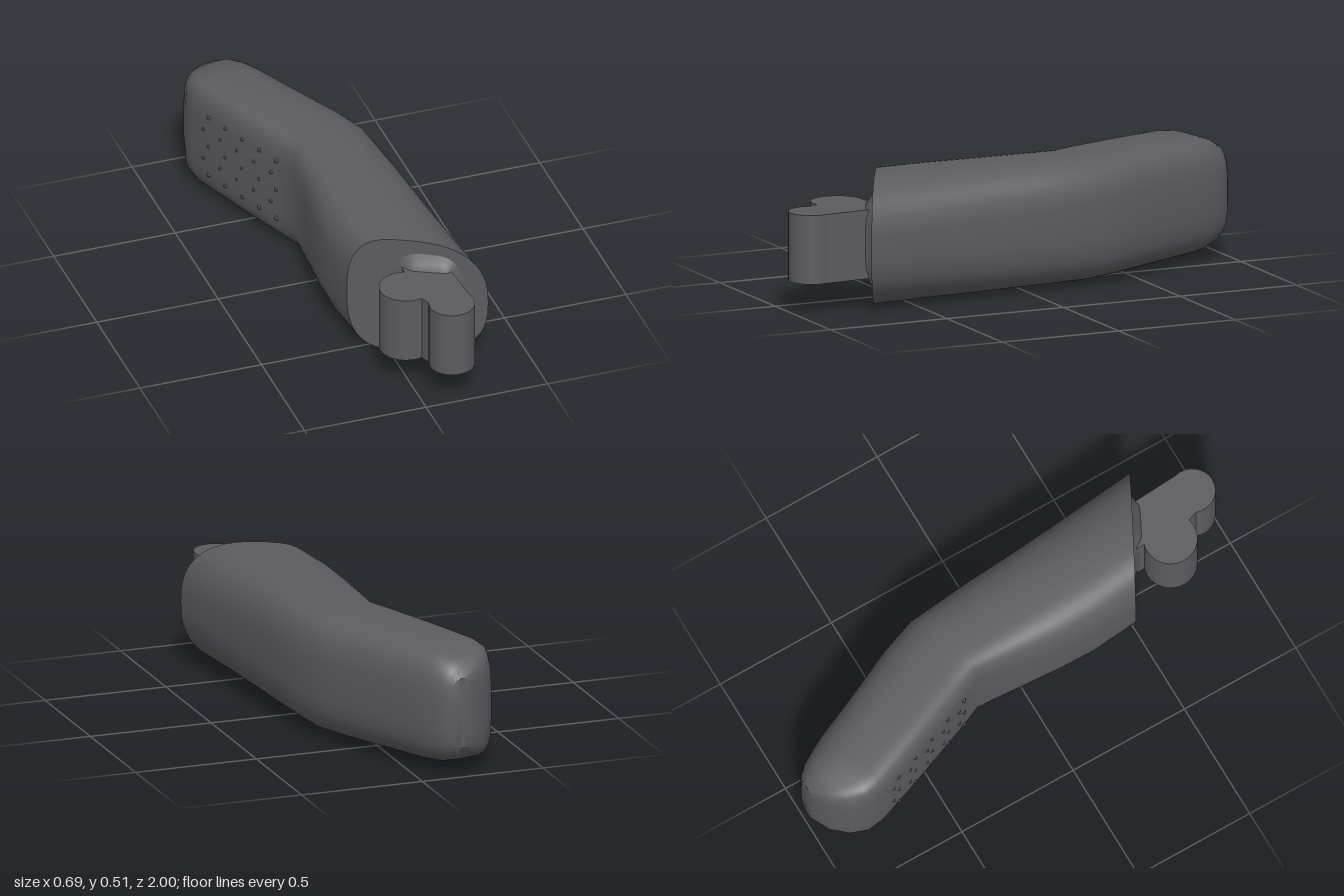
import * as THREE from 'three';
import { toCreasedNormals } from 'three/addons/utils/BufferGeometryUtils.js';

const SEG = 48;

// Ring between two side points (x, z), from y0 to y1, as a superellipse
// with its own roundness on the left and on the right of the crown.
function ring([lx, lz, rx, rz, y0, y1, nL, nR, crown]) {
  const mx = lx + (rx - lx) * crown, mz = lz + (rz - lz) * crown;
  const out = [];
  for (let j = 0; j < SEG; j++) {
    const t = (j / SEG) * Math.PI * 2, c = Math.cos(t), s = Math.sin(t);
    const n = c > 0 ? nR : nL;
    const u = Math.pow(Math.abs(c), 2 / n);
    const v = Math.sign(s) * Math.pow(Math.abs(s), 2 / n);
    const ex = c > 0 ? rx : lx, ez = c > 0 ? rz : lz;
    out.push(mx + (ex - mx) * u, (y0 + y1) / 2 + (v * (y1 - y0)) / 2, mz + (ez - mz) * u);
  }
  return out;
}

// Closed skin over rings ordered front to back
function loft(stations, crease) {
  const pos = stations.flatMap(ring), idx = [], last = stations.length - 1;
  for (let i = 0; i < last; i++) {
    for (let j = 0; j < SEG; j++) {
      const a = i * SEG + j, b = i * SEG + ((j + 1) % SEG);
      idx.push(a, a + SEG, b, b, a + SEG, b + SEG);
    }
  }
  for (const i of [0, last]) {
    const [lx, lz, rx, rz, y0, y1] = stations[i], c = pos.length / 3;
    pos.push((lx + rx) / 2, (y0 + y1) / 2, (lz + rz) / 2);
    for (let j = 0; j < SEG; j++) {
      const a = i * SEG + j, b = i * SEG + ((j + 1) % SEG);
      if (i === 0) idx.push(c, a, b);
      else idx.push(c, b, a);
    }
  }
  const g = new THREE.BufferGeometry();
  g.setAttribute('position', new THREE.Float32BufferAttribute(pos, 3));
  g.setIndex(idx);
  return toCreasedNormals(g, crease);
}

export function createModel() {
  const model = new THREE.Group();
  model.name = 'bentHandle';
  const grey = new THREE.MeshStandardMaterial({ color: 0x5c5b60 });
  grey.name = 'dark grey';

  const add = (name, geometry, parent = model) => {
    const m = new THREE.Mesh(geometry, grey);
    m.name = name;
    parent.add(m);
    return m;
  };

  // Body: slanted front face, bend in the middle, rounded rear end
  // left x, z, right x, z, bottom, top, left and right roundness, crown
  add('body', loft([
    [-0.145, 0.49, 0.345, 0.75, 0.0, 0.513, 2.9, 2.6, 0.4],
    [-0.16, 0.30, 0.315, 0.47, 0.003, 0.51, 3.2, 2.7, 0.42],
    [-0.155, 0.15, 0.288, 0.22, 0.006, 0.508, 3.5, 2.9, 0.45],
    [-0.14, 0.0, 0.268, -0.03, 0.009, 0.506, 4, 3, 0.45],
    [-0.12, -0.2, 0.235, -0.31, 0.012, 0.503, 5, 3.2, 0.45],
    [-0.16, -0.29, 0.18, -0.46, 0.014, 0.502, 5, 3.2, 0.45],
    [-0.25, -0.52, 0.09, -0.65, 0.018, 0.498, 5, 3.2, 0.45],
    [-0.335, -0.75, 0.005, -0.84, 0.023, 0.492, 5, 3.2, 0.45],
    [-0.345, -0.82, -0.03, -0.905, 0.03, 0.485, 5, 3.2, 0.45],
    [-0.327, -0.89, -0.06, -0.955, 0.05, 0.465, 4.5, 3.2, 0.45],
    [-0.28, -0.955, -0.09, -0.985, 0.08, 0.437, 4, 3.2, 0.45],
    [-0.21, -1.0, -0.12, -1.0, 0.12, 0.4, 3.5, 3, 0.45],
  ], 0.6));

  // Collar flaring from the front face into the neck
  add('collar', loft([
    [0.045, 0.63, 0.21, 0.715, 0.122, 0.395, 6, 6, 0.5],
    [0.035, 0.605, 0.225, 0.705, 0.1, 0.42, 4, 4, 0.5],
    [0.0, 0.562, 0.27, 0.705, 0.05, 0.465, 3, 3, 0.5],
  ], 0.9));

  // Hinge: a neck plate with two upright knuckles
  const hinge = new THREE.Group();
  hinge.name = 'hinge';
  model.add(hinge);
  const bottom = 0.122, height = 0.273;
  const outline = [[0.04, 0.56], [0.04, 0.84], [0.055, 0.88], [0.14, 0.91],
    [0.225, 0.9], [0.21, 0.66]];
  const neck = new THREE.ExtrudeGeometry(
    new THREE.Shape(outline.map(([x, z]) => new THREE.Vector2(x, -z))),
    { depth: height, bevelEnabled: false });
  neck.rotateX(-Math.PI / 2).translate(0, bottom, 0);
  add('neck', neck, hinge);
  for (const [name, x, z, r] of [['sideKnuckle', 0.01, 0.737, 0.105], ['frontKnuckle', 0.138, 0.91, 0.09]]) {
    add(name, new THREE.CylinderGeometry(r, r, height, 40), hinge)
      .position.set(x, bottom + height / 2, z);
  }

  // Grip studs in staggered rows on the inner side of the rear half
  const studs = new THREE.Group();
  studs.name = 'gripStuds';
  model.add(studs);
  const studShape = toCreasedNormals(new THREE.ConeGeometry(0.02, 0.018, 5), 0.2);
  const outward = new THREE.Vector3(-0.936, 0, 0.35).normalize();
  const turn = new THREE.Quaternion().setFromUnitVectors(new THREE.Vector3(0, 1, 0), outward);
  for (let row = 0; row < 5; row++) {
    for (let col = 0; col < 5; col++) {
      const t = (col + (row % 2 ? 0.3 : 0)) / 4.6;
      const stud = add('gripStud', studShape, studs);
      stud.position.set(-0.16 - 0.165 * t, 0.122 + row * 0.066, -0.29 - 0.435 * t);
      stud.quaternion.copy(turn);
    }
  }

  return model;
}
